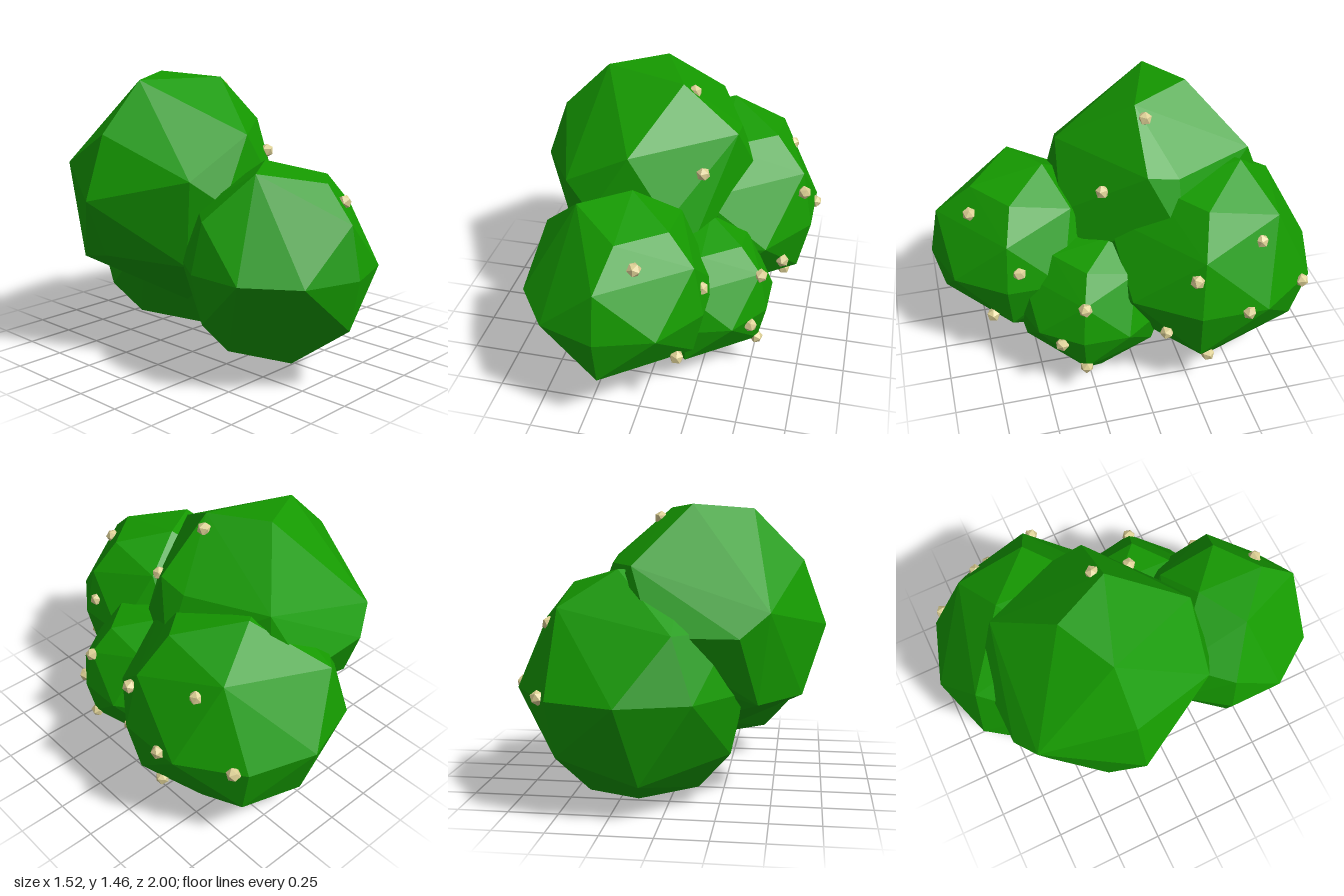
import * as THREE from 'three';
import { ConvexGeometry } from 'three/addons/geometries/ConvexGeometry.js';

// Coarse leaf clump: paired corners also appear at their opposite, single ones do not
const LOW_CLUMP = {
  paired: [
    [0.045, 0.485, -0.13], [-0.195, 0.465, 0.02], [0.275, 0.412, 0.08],
    [0.408, 0.255, 0.125], [0.408, -0.248, 0.125], [0.46, 0, 0.145], [0.46, 0, -0.145],
    [0.285, 0, 0.395], [-0.285, 0, 0.395], [0, 0, 0.488],
    [0.055, 0.415, 0.25],
  ],
  single: [
    [0, 0.255, 0.437], [0, -0.255, 0.437],
    [-0.2, 0.255, -0.36], [-0.07, -0.337, -0.357],
    [0.26, -0.235, -0.34], [0.27, 0.34, -0.23],
  ],
};

// Taller clump with its pointed corner on the right-hand side
const TOP_CLUMP = {
  paired: [
    [0.044, 0.484, -0.12], [-0.19, 0.464, 0],
    [-0.392, 0.26, 0], [-0.392, -0.24, 0], [-0.486, 0, 0],
    [-0.28, 0.1, 0.38], [-0.275, 0.09, -0.378],
    [0.166, 0, 0.443], [0.16, 0, -0.45],
    [0.254, 0.255, -0.335], [0.395, 0.265, 0.13],
  ],
  single: [
    [0.162, 0.464, 0.125], [0, 0.26, 0.425], [0, -0.26, 0.41], [-0.23, -0.27, -0.33],
  ],
};

// name, shape, centre, scale
const CLUMPS = [
  ['frontClump', LOW_CLUMP, [-0.155, 0.585, 0.51], 1],
  ['topClump', TOP_CLUMP, [-0.155, 0.87, -0.225], 1.235],
  ['backClump', LOW_CLUMP, [0.18, 0.585, -0.42], 1.195],
  ['smallClump', LOW_CLUMP, [0.195, 0.402, 0.2], 0.82],
];

// Berry centres
const BERRIES = [
  [0, 0.9, 0.785], [0.28, 0.69, 0.585], [0.19, 0.36, 0.73],
  [0.53, 0.6, 0.3], [0.505, 0.37, 0.42], [0.525, 0.2, 0.3],
  [0.095, 1.39, -0.11], [0.19, 1.055, 0.13],
  [0.68, 0.8, -0.225], [0.57, 0.9, -0.585], [0.73, 0.59, -0.49],
  [0.565, 0.59, -0.835], [0.6, 0.42, -0.105], [0.59, 0.2, -0.34],
];

function clumpGeometry({ paired, single }) {
  const points = single.map((p) => new THREE.Vector3(...p));
  for (const [x, y, z] of paired) {
    points.push(new THREE.Vector3(x, y, z), new THREE.Vector3(-x, -y, -z));
  }
  return new ConvexGeometry(points);
}

export function createModel() {
  const bush = new THREE.Group();
  bush.name = 'berryBush';
  const leafMat = new THREE.MeshStandardMaterial({ color: 0x159a00, flatShading: true });
  const berryMat = new THREE.MeshStandardMaterial({ color: 0xdccf94, flatShading: true });

  // Leaf clumps
  for (const [name, shape, centre, scale] of CLUMPS) {
    const clump = new THREE.Mesh(clumpGeometry(shape), leafMat);
    clump.name = name;
    clump.position.set(...centre);
    clump.scale.setScalar(scale);
    bush.add(clump);
  }

  // Berries, half sunk into the leaves, each turned differently
  const berryGeo = new THREE.IcosahedronGeometry(0.037, 0);
  const berries = new THREE.Group();
  berries.name = 'berries';
  BERRIES.forEach((p, i) => {
    const berry = new THREE.Mesh(berryGeo, berryMat);
    berry.name = 'berry';
    berry.position.set(...p);
    berry.rotation.set(i * 1.3, i * 0.7, i * 2.1);
    berries.add(berry);
  });
  bush.add(berries);
  return bush;
}
